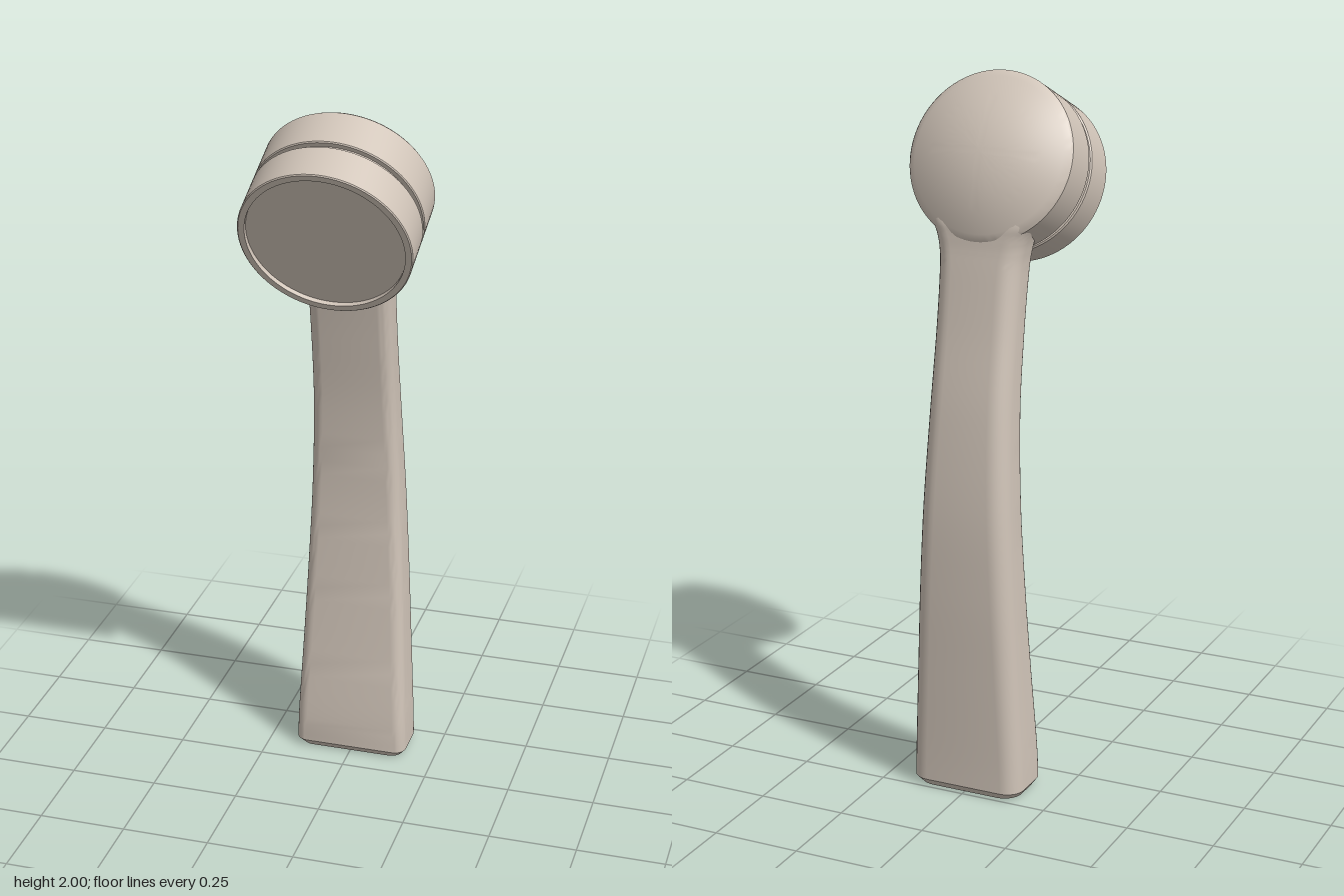
import * as THREE from 'three';
import { toCreasedNormals } from 'three/addons/utils/BufferGeometryUtils.js';

const CORNER_STEPS = 7;

// Rounded rectangle in x/z, with softer corners at the back than at the front
function section(front, back, half) {
  const depth = front - back;
  const rf = Math.min(0.034, depth * 0.3), rb = Math.min(0.052, depth * 0.42);
  const corners = [
    [half - rf, front - rf, rf, 0],
    [-half + rf, front - rf, rf, 1],
    [-half + rb, back + rb, rb, 2],
    [half - rb, back + rb, rb, 3],
  ];
  const pts = [];
  for (const [cx, cz, r, q] of corners) {
    for (let i = 0; i <= CORNER_STEPS; i++) {
      const a = (q + i / CORNER_STEPS) * Math.PI / 2;
      pts.push(new THREE.Vector2(cx + r * Math.cos(a), cz + r * Math.sin(a)));
    }
  }
  return pts;
}

// Skin stacked rings of equal point count
function loft(rings) {
  const n = rings[0].pts.length, pos = [], idx = [];
  for (const { y, pts } of rings) for (const p of pts) pos.push(p.x, y, p.y);
  for (let r = 0; r < rings.length - 1; r++) {
    for (let i = 0; i < n; i++) {
      const a = r * n + i, b = r * n + (i + 1) % n;
      idx.push(a, a + n, b, b, a + n, b + n);
    }
  }
  const g = new THREE.BufferGeometry();
  g.setAttribute('position', new THREE.Float32BufferAttribute(pos, 3));
  g.setIndex(idx);
  return toCreasedNormals(g, 0.6);
}

const lathe = (points, segments) => toCreasedNormals(
  new THREE.LatheGeometry(points.map(([r, y]) => new THREE.Vector2(r, y)), segments), 0.5);

export function createModel() {
  const model = new THREE.Group();
  const beige = new THREE.MeshStandardMaterial({ color: 0xd0c4b8 });
  beige.name = 'warm beige';
  const add = (parent, name, geometry) => {
    const mesh = new THREE.Mesh(geometry, beige);
    mesh.name = name;
    parent.add(mesh);
    return mesh;
  };

  // Handle stations: y, front z, back z, half width
  const stations = [
    [0.02, -0.071, -0.246, 0.166],
    [0.12, -0.073, -0.247, 0.163],
    [0.36, -0.093, -0.253, 0.152],
    [0.60, -0.108, -0.258, 0.141],
    [0.84, -0.114, -0.254, 0.130],
    [1.10, -0.098, -0.229, 0.120],
    [1.32, -0.066, -0.192, 0.117],
    [1.48, -0.038, -0.167, 0.118],
    [1.54, -0.029, -0.157, 0.124],
    [1.58, -0.027, -0.152, 0.135],
    [1.62, -0.027, -0.146, 0.153],
    [1.69, -0.030, -0.120, 0.165],
  ];
  const [front, back, half] = [1, 2, 3].map(k =>
    new THREE.SplineCurve(stations.map(s => new THREE.Vector2(s[0], s[k]))));

  // Bevelled foot ring, then the curved grip flaring into the head
  const [, f0, b0, h0] = stations[0];
  const foot = section(f0 - 0.014, b0 + 0.014, h0 - 0.014);
  const rings = [{ y: 0, pts: foot }];
  const steps = 66;
  for (let i = 0; i <= steps; i++) {
    const t = i / steps, p = front.getPoint(t);
    rings.push({ y: p.x, pts: section(p.y, back.getPoint(t).y, half.getPoint(t).y) });
  }
  const handle = new THREE.Group();
  handle.name = 'handle';
  model.add(handle);
  add(handle, 'grip', loft(rings));

  // Underside with the round hose socket
  const holeR = 0.056, holeZ = (f0 + b0) / 2;
  const base = new THREE.Shape(foot);
  base.holes.push(new THREE.Path().absarc(0, holeZ, holeR, 0, Math.PI * 2, true));
  add(handle, 'handleBase', new THREE.ShapeGeometry(base, 24).rotateX(Math.PI / 2));
  add(handle, 'hoseSocket', lathe([[0, 0.3], [holeR, 0.3], [holeR, 0]], 48))
    .position.z = holeZ;

  // Tilted head; its local +y runs from the spray face to the domed back
  const head = new THREE.Group();
  head.name = 'head';
  head.position.set(0, 1.682, 0.172);
  head.rotation.x = -1.169;
  model.add(head);

  const R = 0.237;
  add(head, 'sprayFace', lathe([[0, 0.014], [0.217, 0.014]], 96));
  add(head, 'frontRing', lathe([
    [0.217, 0.014], [0.217, 0], [R - 0.003, 0], [R, 0.003],
    [R, 0.111], [R - 0.004, 0.115], [0.222, 0.115],
  ], 96));
  add(head, 'groove', lathe([[0.222, 0.115], [0.222, 0.131]], 96));

  const shell = [[0.222, 0.131], [R - 0.003, 0.131], [R, 0.134], [R, 0.25], [R - 0.005, 0.257]];
  for (let i = 1; i <= 14; i++) {
    const r = (R - 0.005) * (1 - i / 14);
    shell.push([r, 0.257 + 0.068 * (1 - (r / (R - 0.005)) ** 2)]);
  }
  add(head, 'domedShell', lathe(shell, 96));

  return model;
}
